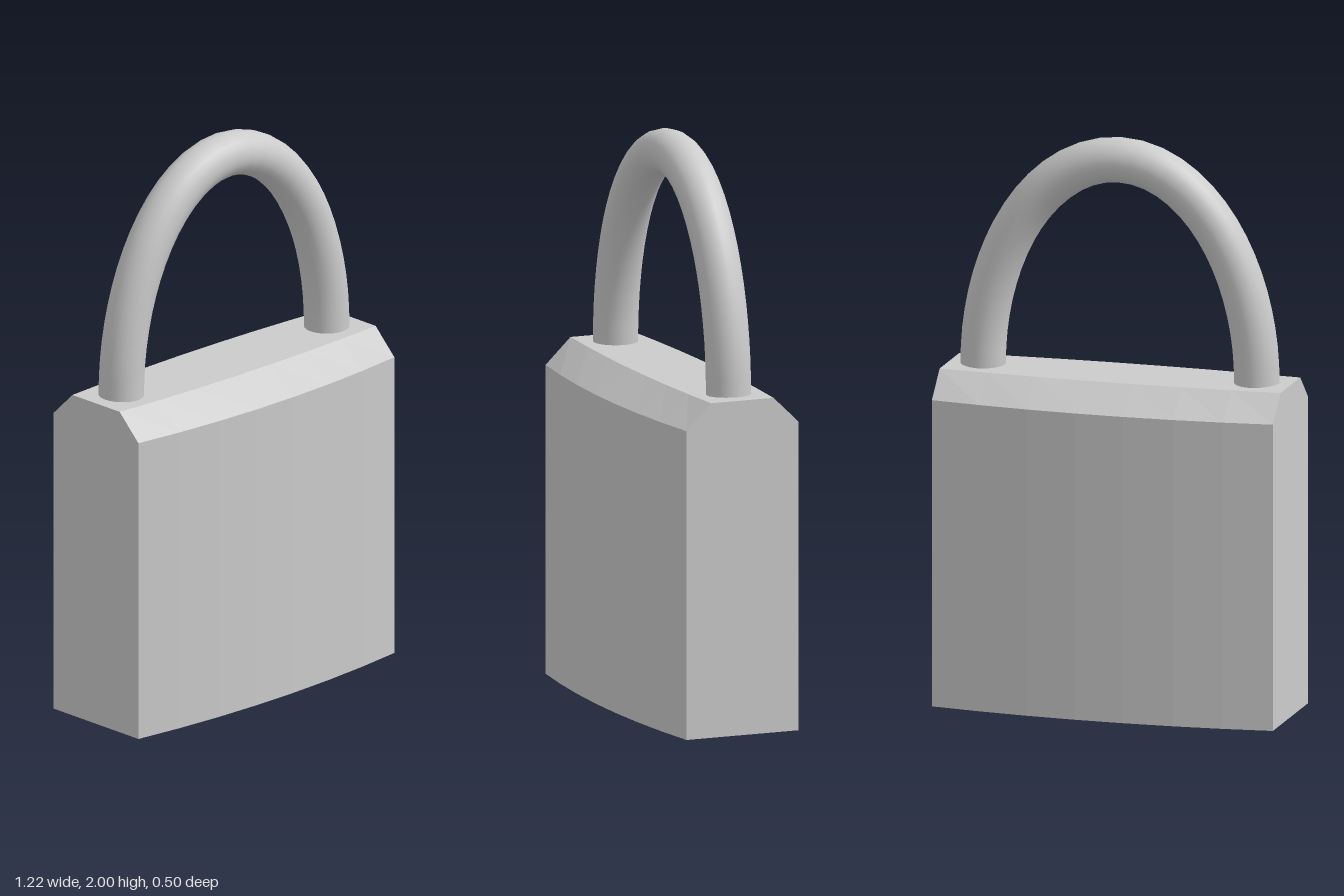
import * as THREE from 'three';

const WIDTH = 1.22, SHOULDER = 1.08, TOP = 1.17;
const SEGMENTS = 7;

// Cross-section of the body at station x, counter-clockwise seen from +x
function bodySection(x) {
  const side = 0.252 - 0.116 * x * x;
  const top = 0.14 - 0.064 * x * x;
  return [
    [side, 0], [-side, 0], [-side, SHOULDER],
    [-top, TOP], [top, TOP], [side, SHOULDER],
  ].map(([z, y]) => new THREE.Vector3(x, y, z));
}

// Bowed block lofted along x, with chamfered top edges and flat ends
function createBody(material) {
  const positions = [];
  const tri = (a, b, c) => positions.push(...a.toArray(), ...b.toArray(), ...c.toArray());
  const sections = [];
  for (let i = 0; i <= SEGMENTS; i++) sections.push(bodySection((i / SEGMENTS - 0.5) * WIDTH));

  for (let i = 0; i < SEGMENTS; i++) {
    const a = sections[i], b = sections[i + 1];
    for (let j = 0; j < a.length; j++) {
      const k = (j + 1) % a.length;
      tri(a[j], b[k], b[j]);
      tri(a[j], a[k], b[k]);
    }
  }
  const left = sections[SEGMENTS], right = sections[0];
  for (let j = 1; j < left.length - 1; j++) {
    tri(left[0], left[j], left[j + 1]);
    tri(right[0], right[j + 1], right[j]);
  }

  const geometry = new THREE.BufferGeometry();
  geometry.setAttribute('position', new THREE.Float32BufferAttribute(positions, 3));
  geometry.computeVertexNormals();
  const mesh = new THREE.Mesh(geometry, material);
  mesh.name = 'body';
  return mesh;
}

// Round bar bent into a half ellipse
function createShackle(material) {
  const points = [];
  for (let i = 0; i <= 24; i++) {
    const a = Math.PI * (1 - i / 24);
    points.push(new THREE.Vector3(0.49 * Math.cos(a), TOP + 0.752 * Math.sin(a), 0));
  }
  const path = new THREE.CatmullRomCurve3(points);
  const mesh = new THREE.Mesh(new THREE.TubeGeometry(path, 32, 0.078, 24), material);
  mesh.name = 'shackle';
  return mesh;
}

export function createModel() {
  const group = new THREE.Group();
  group.name = 'padlock';
  const flat = new THREE.MeshStandardMaterial({ color: 0xcccccc, flatShading: true });
  const smooth = new THREE.MeshStandardMaterial({ color: 0xcccccc });
  group.add(createBody(flat), createShackle(smooth));
  return group;
}
